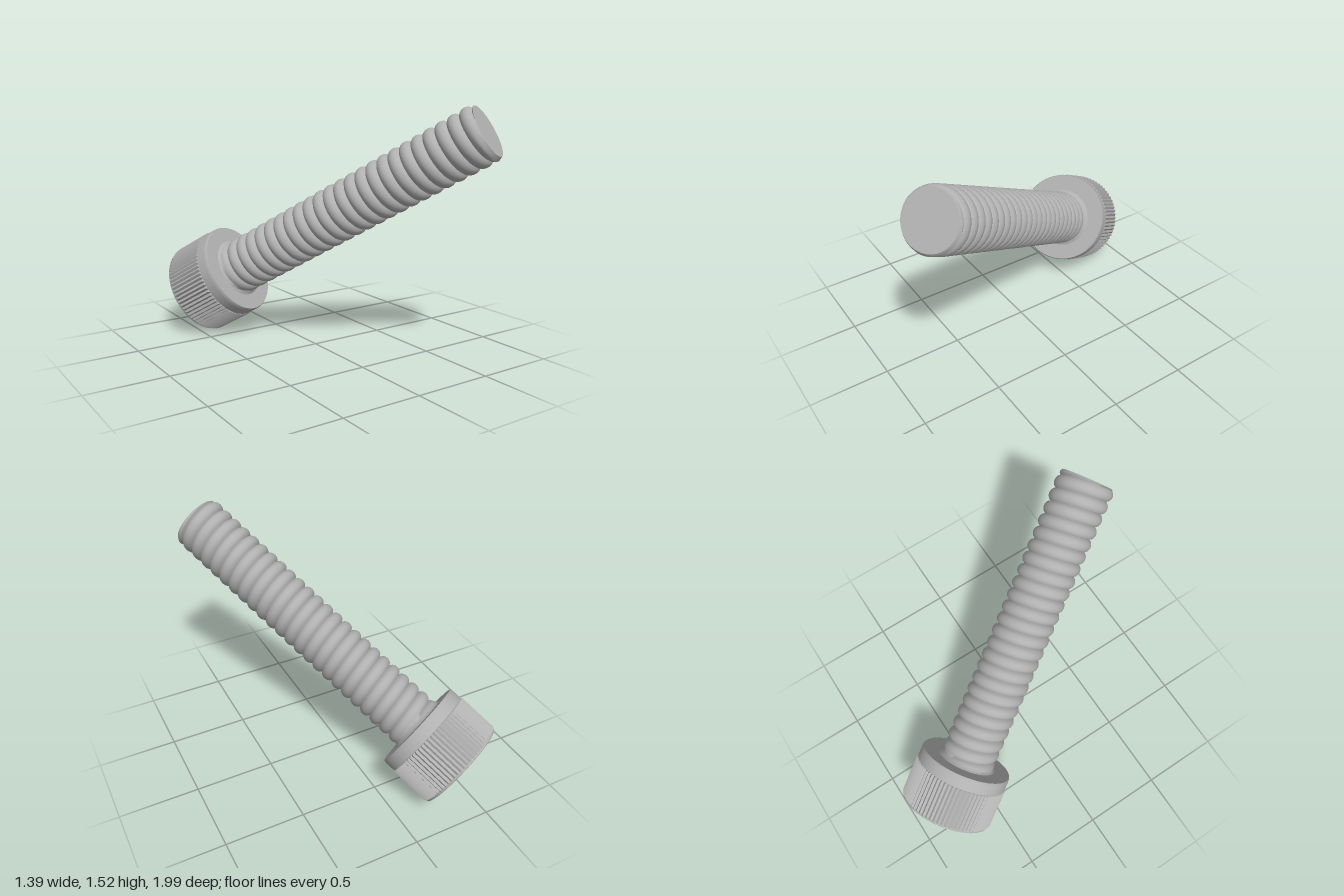
import * as THREE from 'three';
import { toCreasedNormals } from 'three/addons/utils/BufferGeometryUtils.js';

const TAU = Math.PI * 2;
const steel = new THREE.MeshStandardMaterial({ color: 0xb0b0b0 });
steel.name = 'steel grey';

// Sizes along the screw's own axis (y = 0 is the back of the head)
const HEAD_H = 0.36, LENGTH = 2.256;
const HEAD_R = 0.306, COLLAR_R = 0.3, FACE_R = 0.294;
const HEX_APOTHEM = 0.143, SOCKET_R = 0.168, SOCKET_DEPTH = 0.18;
const ROOT_R = 0.153, CREST_R = 0.179, TIP_R = 0.161, PITCH = 0.08;

// Surface through rings; each ring is a function angle -> [radius, height]
function loft(name, rings, cols, crease = 0.5) {
  const pos = [], index = [];
  rings.forEach((ring, i) => {
    for (let j = 0; j <= cols; j++) {
      const a = (j / cols) * TAU;
      const [r, y] = ring(a, j);
      pos.push(r * Math.sin(a), y, r * Math.cos(a));
      if (i && j) {
        const d = i * (cols + 1) + j - 1, c = d + 1;
        const p = d - cols - 1, q = p + 1;
        index.push(p, q, c, p, c, d);
      }
    }
  });
  const geo = new THREE.BufferGeometry();
  geo.setAttribute('position', new THREE.Float32BufferAttribute(pos, 3));
  geo.setIndex(index);
  const mesh = new THREE.Mesh(toCreasedNormals(geo, crease), steel);
  mesh.name = name;
  return mesh;
}

const circle = (r, y) => () => [r, y];

// Hexagon radius at an angle, corners on the local x axis
function hexRadius(a) {
  const step = Math.PI / 3;
  return HEX_APOTHEM / Math.cos(a - Math.round(a / step) * step);
}

// Hex socket with a countersunk mouth and a shallow conical floor
function makeSocket() {
  return loft('hexSocket', [
    circle(0, SOCKET_DEPTH + 0.03),
    (a) => [hexRadius(a), SOCKET_DEPTH],
    (a) => [hexRadius(a), (SOCKET_R - hexRadius(a)) * 0.6],
    circle(SOCKET_R, 0),
  ], 96);
}

// Back face with a softened rim
function makeBackFace() {
  return loft('headBack', [
    circle(SOCKET_R, 0),
    circle(0.29, 0),
    circle(0.297, 0.004),
    circle(0.299, 0.014),
  ], 96);
}

// Knurled grip: zigzag teeth that run out at both ends
function makeKnurl() {
  const tooth = (y) => (a, j) => [j % 2 ? HEAD_R : HEAD_R - 0.011, y];
  const flat = (y) => circle(HEAD_R - 0.011, y);
  return loft('knurledGrip', [flat(0.008), tooth(0.02), tooth(0.272), flat(0.28)], 144, 0.3);
}

// Smooth collar and bearing face
function makeCollar() {
  return loft('collar', [
    circle(0.29, 0.272),
    circle(COLLAR_R, 0.278),
    circle(COLLAR_R, 0.335),
    circle(0.299, 0.35),
    circle(FACE_R, HEAD_H),
    circle(0.15, HEAD_H),
  ], 96);
}

// Right-handed helical thread with a neck fillet and a chamfered tip
function makeThread() {
  const steps = 8;
  const turns = Math.ceil((LENGTH - HEAD_H) / PITCH) + 1;
  const rings = [];
  for (let i = 0; i <= turns * steps; i++) {
    const phase = (i % steps) / steps;
    const bump = ROOT_R + (CREST_R - ROOT_R) * Math.sin(Math.PI * phase) ** 0.6;
    rings.push((a) => {
      const raw = HEAD_H + PITCH * (i / steps - 1 + a / TAU);
      const y = THREE.MathUtils.clamp(raw, HEAD_H, LENGTH);
      const t = Math.max(0, 1 - (y - HEAD_H) / 0.035);
      const neck = 0.165 + 0.03 * t * t;
      const chamfer = TIP_R + (LENGTH - y) * 0.6;
      const r = y < HEAD_H + 0.035 ? Math.max(bump, neck) : bump;
      return [Math.min(r, chamfer), y];
    });
  }
  return loft('thread', rings, 64, 0.65);
}

// Flat end of the shank
function makeTip() {
  return loft('tipFace', [circle(TIP_R, LENGTH), circle(0, LENGTH)], 64);
}

export function createModel() {
  const screw = new THREE.Group();
  screw.name = 'socketScrew';
  screw.add(makeSocket(), makeBackFace(), makeKnurl(), makeCollar(), makeThread(), makeTip());

  // Lean the axis 60 degrees forward, then turn it 30 degrees sideways
  screw.rotation.set(Math.PI / 3, Math.PI / 6, 0, 'YXZ');
  screw.position.set(-0.426, 0.262, -0.798);

  const model = new THREE.Group();
  model.name = 'model';
  model.add(screw);
  return model;
}
